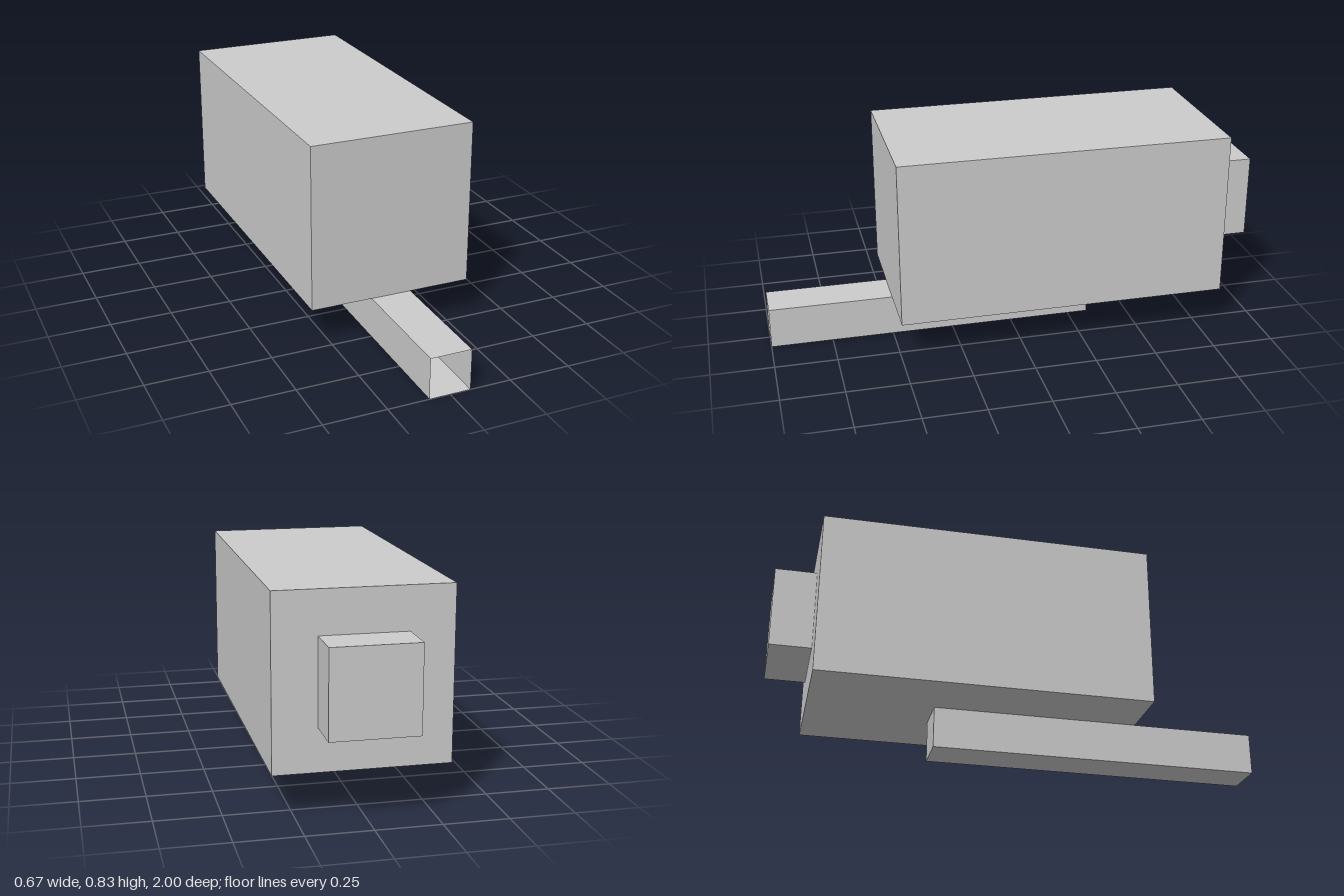
import * as THREE from 'three';

const U = 1 / 6; // modelling unit

function block(name, size, position, material) {
  const mesh = new THREE.Mesh(new THREE.BoxGeometry(...size.map((s) => s * U)), material);
  mesh.position.set(...position.map((p) => p * U));
  mesh.name = name;
  return mesh;
}

export function createModel() {
  const group = new THREE.Group();
  const solid = new THREE.MeshStandardMaterial({ color: 0xcccccc, flatShading: true });
  const thin = new THREE.MeshStandardMaterial({ color: 0xcccccc, flatShading: true, side: THREE.DoubleSide });

  // Main housing and the square block on its back
  group.add(block('body', [4, 4, 8], [0, 3, -1], solid));
  group.add(block('rearBlock', [2, 2, 1], [0, 3, -5.5], solid));

  // Hollow square barrel under the body: a thin box without its front (+z) face
  const barrel = block('barrel', [1, 1, 8], [0, 0.5, 2], thin);
  const index = Array.from(barrel.geometry.index.array);
  index.splice(24, 6);
  barrel.geometry.setIndex(index);
  barrel.geometry.clearGroups();
  group.add(barrel);

  return group;
}
